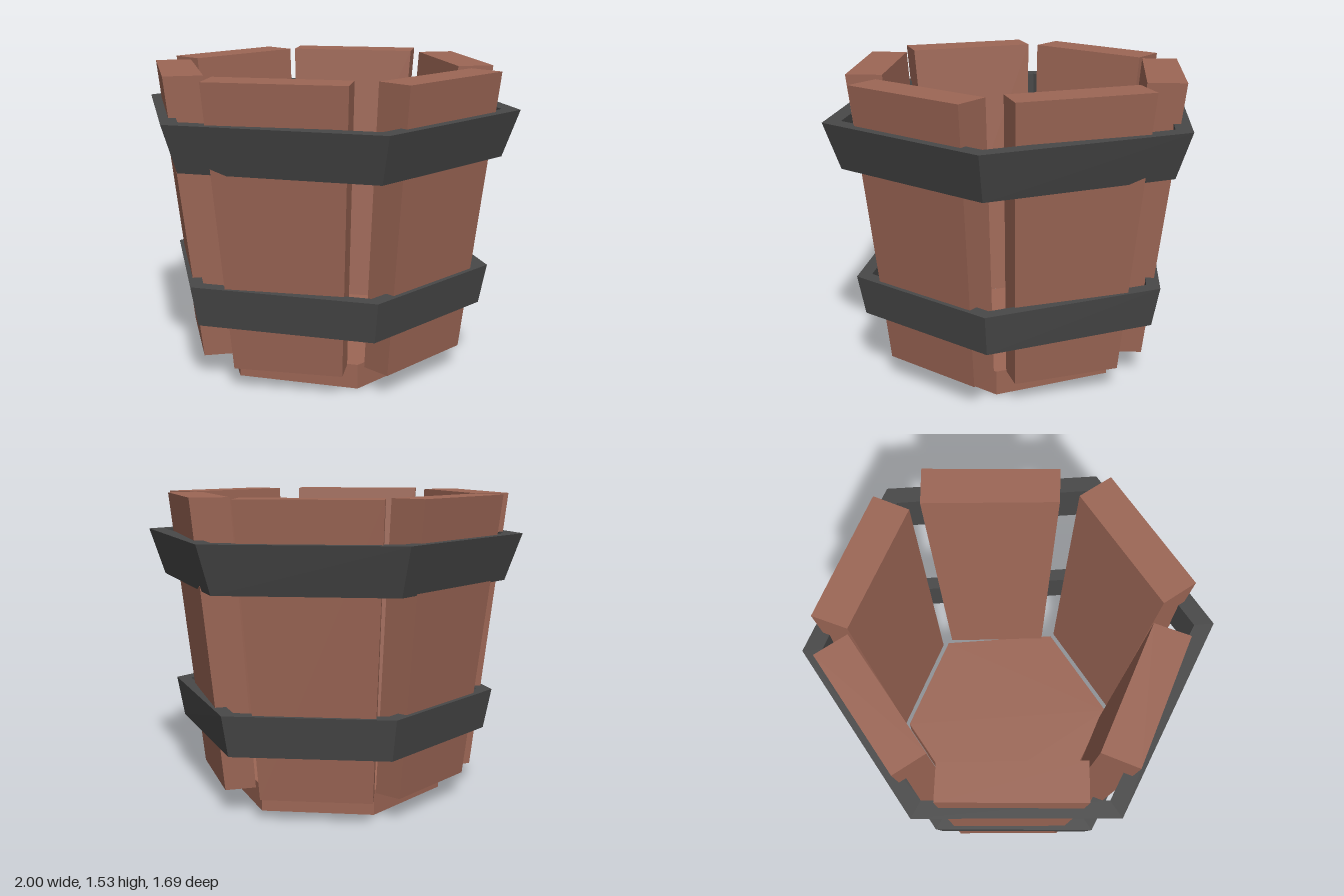
import * as THREE from 'three';

const wood = new THREE.MeshStandardMaterial({ color: 0x9c6655, flatShading: true });
const iron = new THREE.MeshStandardMaterial({ color: 0x484848, flatShading: true });

// Skins a stack of horizontal outlines; each is { y, pts: [[x, z], ...] },
// ordered front-left, front-right, back-right...
function skin(name, loops, material, closed) {
  const pos = [];
  const put = (l, i) => pos.push(l.pts[i][0], l.y, l.pts[i][1]);
  const n = loops[0].pts.length;
  const strips = closed ? loops.length : loops.length - 1;
  for (let k = 0; k < strips; k++) {
    const a = loops[k], b = loops[(k + 1) % loops.length];
    for (let i = 0; i < n; i++) {
      const j = (i + 1) % n;
      put(a, i); put(a, j); put(b, j);
      put(a, i); put(b, j); put(b, i);
    }
  }
  if (!closed) {
    const bottom = loops[0], top = loops[loops.length - 1];
    for (let i = 1; i < n - 1; i++) {
      put(top, 0); put(top, i); put(top, i + 1);
      put(bottom, 0); put(bottom, i + 1); put(bottom, i);
    }
  }
  const g = new THREE.BufferGeometry();
  g.setAttribute('position', new THREE.Float32BufferAttribute(pos, 3));
  g.computeVertexNormals();
  const mesh = new THREE.Mesh(g, material);
  mesh.name = name;
  return mesh;
}

// Hexagon with tips on the x axis
const hexagon = (tip, corner, front, back, tipZ) => [
  [-corner, front], [corner, front], [tip, tipZ],
  [corner, back], [-corner, back], [-tip, tipZ],
];

// Rectangle outline
const rect = (x0, x1, front, back) => [[x0, front], [x1, front], [x1, back], [x0, back]];

export function createModel() {
  const bucket = new THREE.Group();
  bucket.name = 'bucket';

  // Floor
  const floor = hexagon(0.58, 0.28, 0.485, -0.505, -0.045);
  bucket.add(skin('floor', [{ y: 0, pts: floor }, { y: 0.125, pts: floor }], wood));

  // Staves lean outwards and widen towards the top
  const y0 = 0.115, y1 = 1.53;
  const stave = (name, low, high) =>
    bucket.add(skin(name, [{ y: y0, pts: low }, { y: y1, pts: high }], wood));

  stave('frontStave', rect(-0.26, 0.285, 0.66, 0.51), rect(-0.32, 0.35, 0.82, 0.637));
  stave('backStave', rect(-0.26, 0.285, -0.52, -0.66), rect(-0.32, 0.35, -0.643, -0.823));

  // Four diagonal staves, mirrored in x and about the tip line in z
  const sideLow = [[0.42, 0.515], [0.715, 0.07], [0.59, -0.015], [0.297, 0.43]];
  const sideHigh = [[0.52, 0.645], [0.893, 0.09], [0.737, -0.015], [0.374, 0.54]];
  for (const sx of [1, -1]) {
    for (const sz of [1, -1]) {
      const place = (pts) => {
        const out = pts.map(([x, z]) => [x * sx, sz > 0 ? z : -0.09 - z]);
        return sx * sz < 0 ? out.reverse() : out;
      };
      const name = (sz > 0 ? 'front' : 'back') + (sx > 0 ? 'Left' : 'Right') + 'Stave';
      stave(name, place(sideLow), place(sideHigh));
    }
  }

  // Hoops: flared outside, upright inside
  const hoop = (name, low, high, outLow, outHigh, inside) => {
    const hex = ([tip, corner, depth]) => hexagon(tip, corner, depth, -depth, -0.062);
    bucket.add(skin(name, [
      { y: low, pts: hex(outLow) },
      { y: high, pts: hex(outHigh) },
      { y: high, pts: hex(inside) },
      { y: low, pts: hex(inside) },
    ], iron, true));
  };
  hoop('upperHoop', 1.1, 1.335, [0.916, 0.44, 0.772], [1, 0.48, 0.845], [0.904, 0.435, 0.763]);
  hoop('lowerHoop', 0.332, 0.536, [0.823, 0.395, 0.697], [0.865, 0.413, 0.732], [0.785, 0.378, 0.66]);

  return bucket;
}
